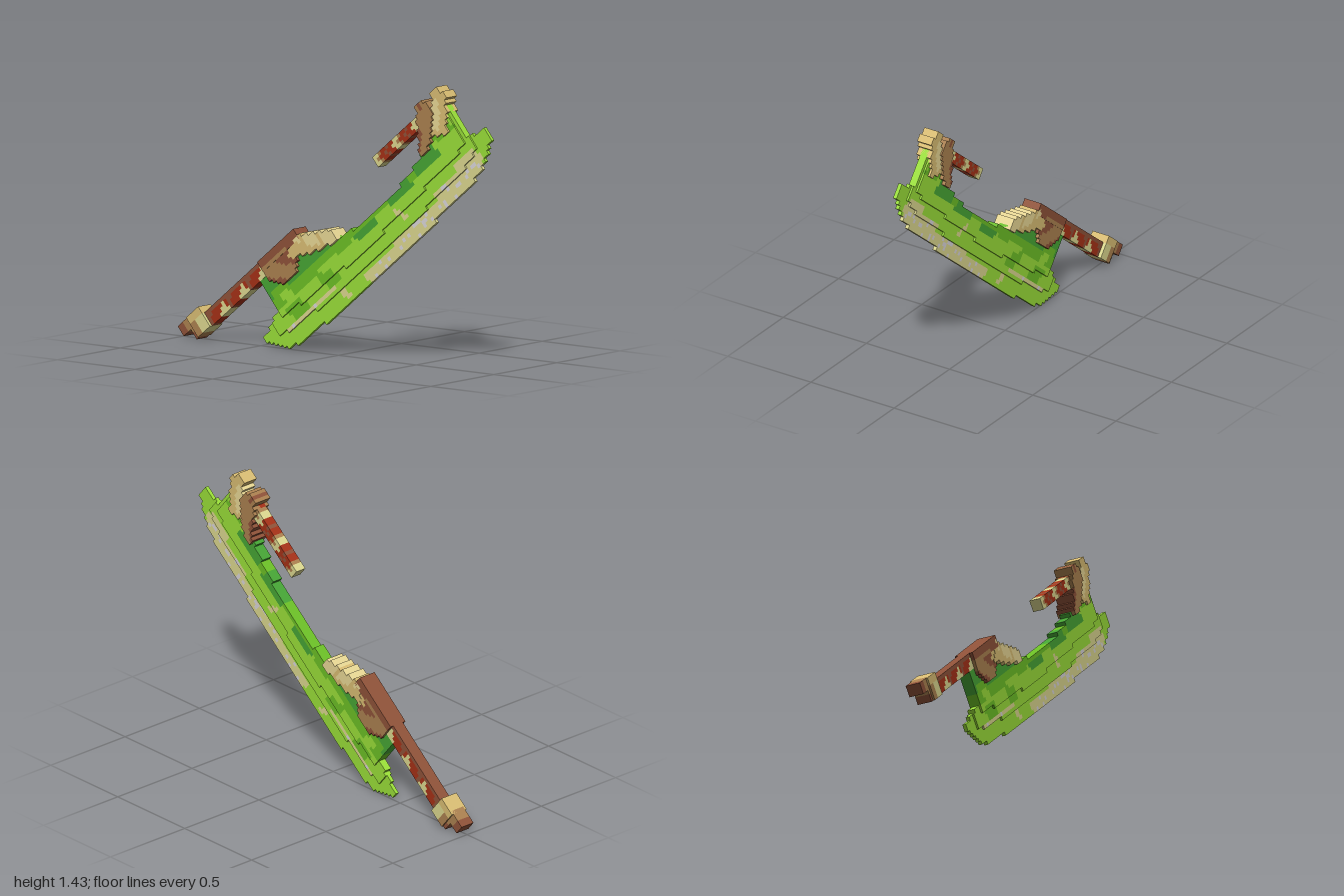
import * as THREE from 'three';
import { mergeGeometries } from 'three/addons/utils/BufferGeometryUtils.js';

// every part is built from square cells on a grid tilted along the blade (u along, v across)
const CELL = 0.02, ANGLE = 39.5 * Math.PI / 180;
const C = Math.cos(ANGLE), S = Math.sin(ANGLE);

const colours = {
  leafLight: 0x99de38, leafMid: 0x6bbe25, leafDark: 0x46a434, khaki: 0xdad68e, paleGrey: 0xd8d4d8,
  brown: 0xaa804f, tan: 0xd8bc72, paleTan: 0xeedd98, redBrown: 0xa43016, umber: 0x8e5138,
};
const materials = {};
for (const [name, color] of Object.entries(colours)) {
  materials[name] = new THREE.MeshStandardMaterial({ color });
  materials[name].name = name;
}

// block with sides along the grid
const block = (u0, u1, v0, v1, contains = () => true) => ({ u0, u1, v0, v1, contains });

// convex outline with upright corners x, y, listed clockwise
function outline(...corners) {
  const us = corners.map(([x, y]) => x * C + y * S);
  const vs = corners.map(([x, y]) => y * C - x * S);
  return block(Math.min(...us), Math.max(...us), Math.min(...vs), Math.max(...vs), ({ x, y }) =>
    corners.every(([ax, ay], k) => {
      const [bx, by] = corners[(k + 1) % corners.length];
      return (bx - ax) * (y - ay) - (by - ay) * (x - ax) <= 0;
    }));
}

// repeatable value from 0 to 1 for a cell
function speckle({ i, j }) {
  const s = Math.sin(i * 12.9898 + j * 78.233) * 43758.5453;
  return s - Math.floor(s);
}

// fills a region with cells, joining runs of one colour into bars
function cells(name, region, half, paint) {
  const [i0, i1, j0, j1] = [region.u0, region.u1, region.v0, region.v1].map(n => Math.round(n / CELL));
  const bars = {};
  for (let j = j0; j < j1; j++) {
    let start = i0, current = null;
    for (let i = i0; i <= i1; i++) {
      const u = (i + 0.5) * CELL, v = (j + 0.5) * CELL;
      const cell = { u, v, x: u * C - v * S, y: u * S + v * C, i, j };
      const colour = i < i1 && region.contains(cell) ? paint(cell) : null;
      if (colour === current) continue;
      if (current) {
        const bar = new THREE.BoxGeometry((i - start) * CELL, CELL, half * 2);
        bar.translate((i + start) / 2 * CELL, (j + 0.5) * CELL, 0).rotateZ(ANGLE);
        (bars[current] ??= []).push(bar);
      }
      current = colour;
      start = i;
    }
  }
  const group = new THREE.Group();
  group.name = name;
  for (const colour in bars) {
    const mesh = new THREE.Mesh(mergeGeometries(bars[colour]), materials[colour]);
    mesh.name = `${name} ${colour}`;
    group.add(mesh);
  }
  return group;
}

// blade curves: bowed cutting edge turned up at both ends, hollow back
const bladeLow = u => 0.178 - 0.025 * Math.max(0, 1 - ((u - 0.5) / 0.55) ** 2)
  + 0.12 * Math.max(0, (-0.05 - u) / 0.28) ** 3 + 0.12 * Math.max(0, (u - 1.2) / 0.33) ** 2;
function bladeHigh(u) {
  if (u < -0.16) return 0.335 + 0.3 * (u + 0.33);
  if (u > 1.4) return 0.38 - 0.25 * (u - 1.4);
  return Math.min(0.58, 0.415 + (u < 0.67 ? 0.5 : 0.3) * (u - 0.67) ** 2);
}
const bladeLayer = (u0, u1, inset) => block(u0, u1, 0.14, 0.6,
  ({ u, v }) => v > bladeLow(u) + inset && v < bladeHigh(u));

// painted areas of the blade; later ones lie on top
const patches = [
  ['leafMid', block(-0.2, 0.48, 0.38, 0.6)],
  ['leafMid', block(0.4, 1.25, 0.4, 0.6)],
  ['leafMid', block(-0.12, 0, 0.28, 0.36)],
  ['leafMid', block(0.16, 0.26, 0.28, 0.38)],
  ['leafMid', block(1.28, 1.42, 0.46, 0.6)],
  ['leafDark', block(-0.16, 0.4, 0.43, 0.6)],
  ['leafMid', block(-0.1, 0.02, 0.4, 0.48)],
  ['leafLight', block(-0.07, 0, 0.38, 0.44)],
  ['leafLight', block(0.2, 0.36, 0.36, 0.41)],
  ['leafDark', block(0.5, 0.67, 0.36, 0.4)],
  ['leafDark', block(0.8, 0.99, 0.37, 0.45)],
  ['leafDark', block(1.05, 1.25, 0.41, 0.52)],
  ['khaki', block(0.34, 1.3, 0.14, 0.22)],
  ['khaki', block(0.62, 1.33, 0.16, 0.25)],
  ['khaki', block(1, 1.36, 0.2, 0.28)],
  ['khaki', block(1.22, 1.38, 0.24, 0.32)],
  ['khaki', block(-0.22, 0.18, 0.26, 0.28)],
  ['khaki', block(0.17, 0.21, 0.18, 0.24)],
  ['khaki', block(0.78, 0.81, 0.28, 0.36)],
];
function leafPaint(cell) {
  // slanted ends on each patch
  const u = cell.u + (cell.v - 0.35) * 0.4;
  let colour = 'leafLight';
  for (const [name, p] of patches)
    if (u > p.u0 && u < p.u1 && cell.v > p.v0 && cell.v < p.v1) colour = name;
  if (colour === 'khaki' && speckle(cell) > 0.89) return 'paleGrey';
  return colour;
}

// grips: red with wedges of khaki at regular steps
const step = i => (i + 80) % 8;
function handlePaint({ i, j }) {
  const row = j - 28, k = step(i);
  if (row === 3) return 'umber';
  if (k >= row && k <= 3 - row / 2) return 'khaki';
  return k === 4 || k === 5 && row === 2 ? 'umber' : 'redBrown';
}
function frontGripPaint({ i, j }) {
  const k = step(i - j % 2);
  return k === 1 || k === 2 ? 'khaki' : k === 3 ? 'brown' : k === 6 ? 'umber' : 'redBrown';
}

function lowerGuardPaint({ x, y }) {
  if (y < 0.36 || y > 0.47 && x < -0.3) return 'umber';
  if (x > -0.29 && y > 0.47) return 'tan';
  return y > 0.44 ? 'umber' : 'brown';
}

export function createModel() {
  const model = new THREE.Group();
  model.name = 'curvedBlade';
  const add = (...part) => model.add(cells(...part));

  // blade in three thicknesses, thinnest at the cutting edge
  add('cuttingEdge', bladeLayer(-0.34, 1.52, 0), 0.01, leafPaint);
  add('bladeBody', bladeLayer(-0.24, 1.42, 0.08), 0.02, leafPaint);
  add('bladeSpine', bladeLayer(-0.16, 1.38, 0.155), 0.03, leafPaint);

  // main handle with pommel, and front grip on the same line
  add('handle', block(-0.58, 0.06, 0.56, 0.64), 0.032, handlePaint);
  add('frontGrip', block(0.84, 1.24, 0.58, 0.64), 0.03, frontGripPaint);
  add('pommelTip', block(-0.74, -0.64, 0.56, 0.68, ({ u, v }) => v > 0.62 || u > -0.68), 0.04,
    ({ u, v }) => v < 0.6 || u < -0.7 ? 'umber' : 'brown');
  add('pommel', block(-0.66, -0.56, 0.56, 0.68), 0.05,
    ({ u, v }) => v > 0.63 ? 'tan' : u < -0.61 ? 'brown' : 'khaki');

  // lower guard
  add('handleCollar', block(-0.1, 0.2, 0.58, 0.64), 0.05, ({ u, v }) => u < 0.1 && v < 0.6 ? 'brown' : 'umber');
  add('lowerGuard', outline([-0.45, 0.38], [-0.38, 0.47], [-0.23, 0.54], [-0.23, 0.42], [-0.3, 0.34], [-0.4, 0.34]),
    0.048, lowerGuardPaint);
  add('lowerGuardHorn', outline([-0.25, 0.59], [0, 0.64], [0.03, 0.59], [-0.1, 0.53], [-0.26, 0.47]),
    0.05, ({ i, y }) => i % 5 === 0 || y < 0.55 ? 'tan' : 'paleTan');

  // upper guard
  add('upperGuard', outline([0.53, 1.33], [0.6, 1.35], [0.64, 1.3], [0.64, 1.17], [0.59, 1.07], [0.56, 1.09]),
    0.05, ({ i, x, y }) => y > 1.3 && i % 3 === 0 || x < 0.57 && y < 1.2 ? 'umber' : 'brown');
  add('upperGuardHorn', outline([0.63, 1.39], [0.66, 1.44], [0.72, 1.38], [0.73, 1.19], [0.62, 1.18]),
    0.042, ({ x, y }) => y < 1.37 && y > 1.21 && x < 0.68 ? 'paleTan' : 'tan');

  return model;
}
